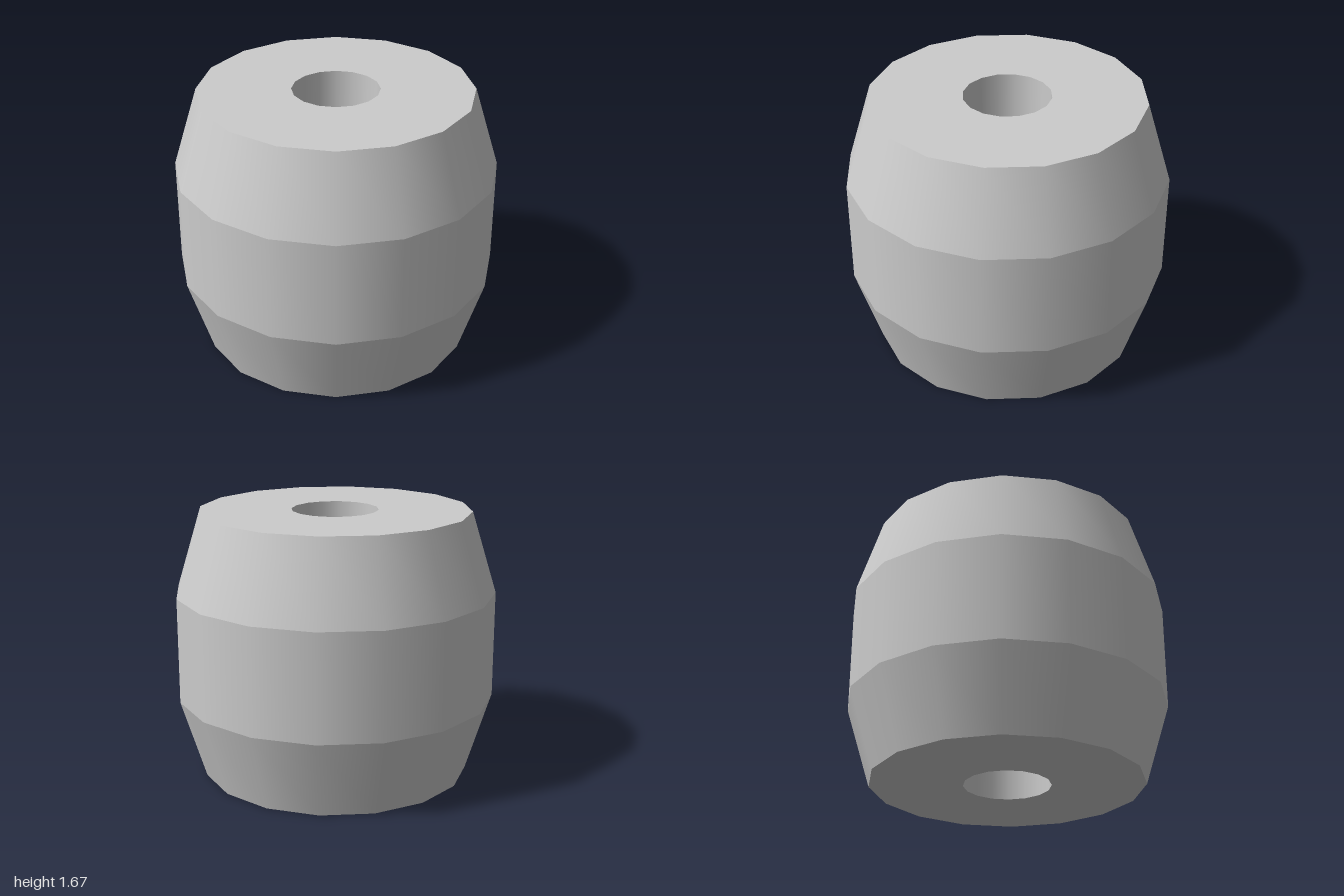
import * as THREE from 'three';

const SIDES = 16;

export function createModel() {
  const model = new THREE.Group();
  model.name = 'barrelBead';
  const grey = new THREE.MeshStandardMaterial({ color: 0xcccccc });
  grey.name = 'light grey';

  // Closed cross-section loop: [radius, height, name of the band that starts here]
  const profile = [
    [0.27, 0, 'bottomFace'],
    [0.845, 0, 'lowerTaper'],
    [1, 0.503, 'middleBand'],
    [1, 1.167, 'upperTaper'],
    [0.845, 1.67, 'topFace'],
    [0.27, 1.67, 'boreWall'],
  ];

  // Each band is turned separately: smooth around, sharp between bands
  profile.forEach(([r, y, name], i) => {
    const [r2, y2] = profile[(i + 1) % profile.length];
    const points = [new THREE.Vector2(r, y), new THREE.Vector2(r2, y2)];
    const band = new THREE.Mesh(new THREE.LatheGeometry(points, SIDES), grey);
    band.name = name;
    model.add(band);
  });

  return model;
}
